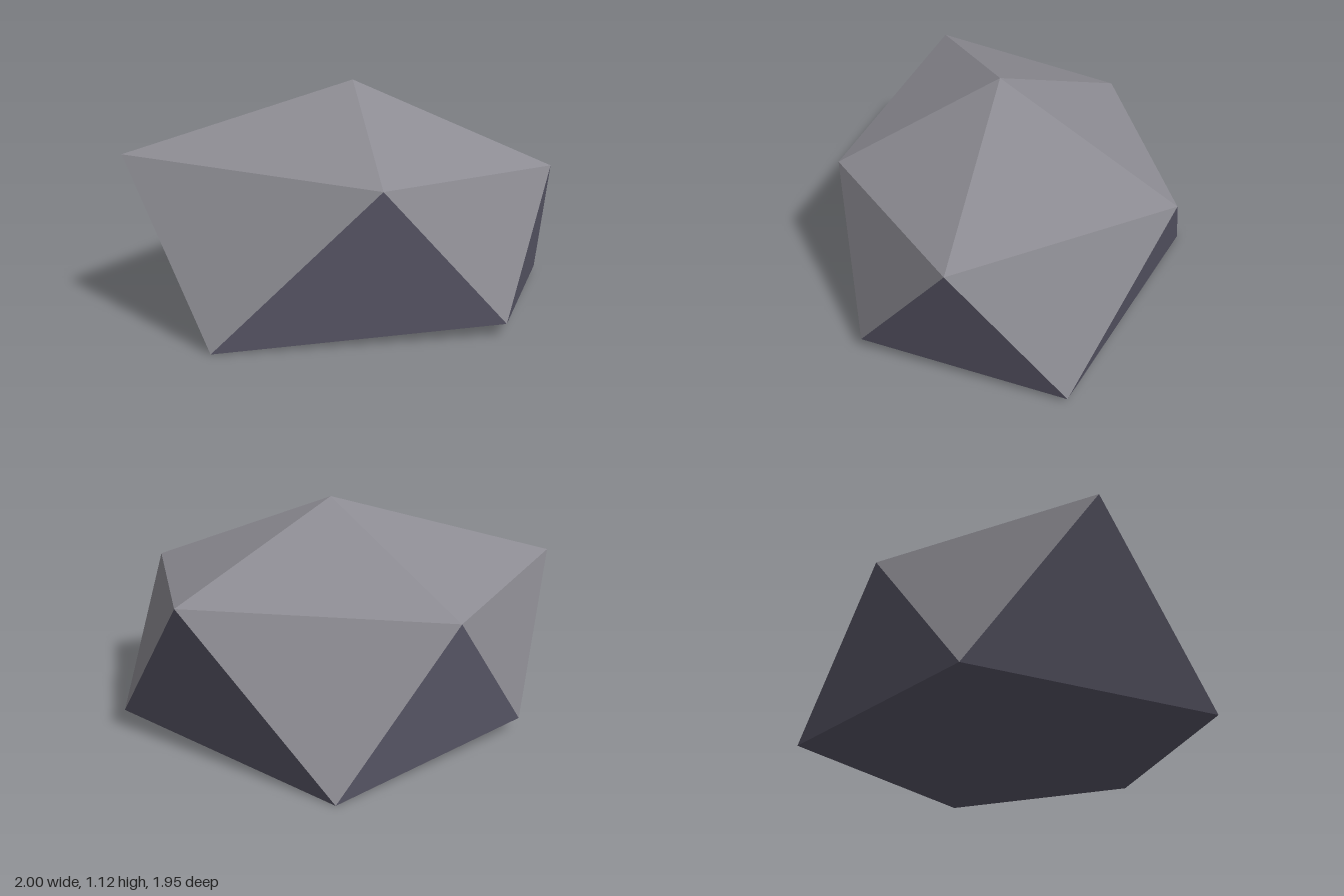
import * as THREE from 'three';

// Flat-shaded mesh from a list of corner triples
function facetMesh(name, faces, material) {
  const geometry = new THREE.BufferGeometry();
  geometry.setAttribute('position', new THREE.Float32BufferAttribute(faces.flat(2), 3));
  geometry.computeVertexNormals();
  const mesh = new THREE.Mesh(geometry, material);
  mesh.name = name;
  return mesh;
}

export function createModel() {
  const lightStone = new THREE.MeshStandardMaterial({ color: 0x8c8b92, flatShading: true });
  lightStone.name = 'light stone';
  const darkStone = new THREE.MeshStandardMaterial({ color: 0x5a5868, flatShading: true });
  darkStone.name = 'dark stone';

  // Irregular twenty-sided rock: two poles and two staggered rings of five
  const peak = [0, 1.115, -0.025];
  const base = [0, 0, -0.025];
  const upper = [
    [1, 0.715, -0.025], [0.31, 0.71, 0.725], [-1, 0.79, 0.555],
    [-0.79, 0.71, -0.49], [0.37, 0.78, -0.935],
  ];
  const lower = [
    [0.84, 0.06, 0.465], [-0.405, 0, 0.97], [-1, 0.075, -0.025],
    [-0.39, 0, -0.975], [0.935, 0.025, -0.57],
  ];

  const cap = [], shoulders = [], flanks = [], underside = [];
  for (let i = 0; i < 5; i++) {
    const j = (i + 1) % 5;
    cap.push([peak, upper[j], upper[i]]);
    shoulders.push([upper[i], upper[j], lower[i]]);
    flanks.push([lower[j], lower[i], upper[j]]);
    underside.push([base, lower[i], lower[j]]);
  }

  const rock = new THREE.Group();
  rock.name = 'rock';
  rock.add(
    facetMesh('rockCap', cap, lightStone),
    facetMesh('rockShoulders', shoulders, lightStone),
    facetMesh('rockFlanks', flanks, darkStone),
    facetMesh('rockUnderside', underside, darkStone),
  );
  return rock;
}
